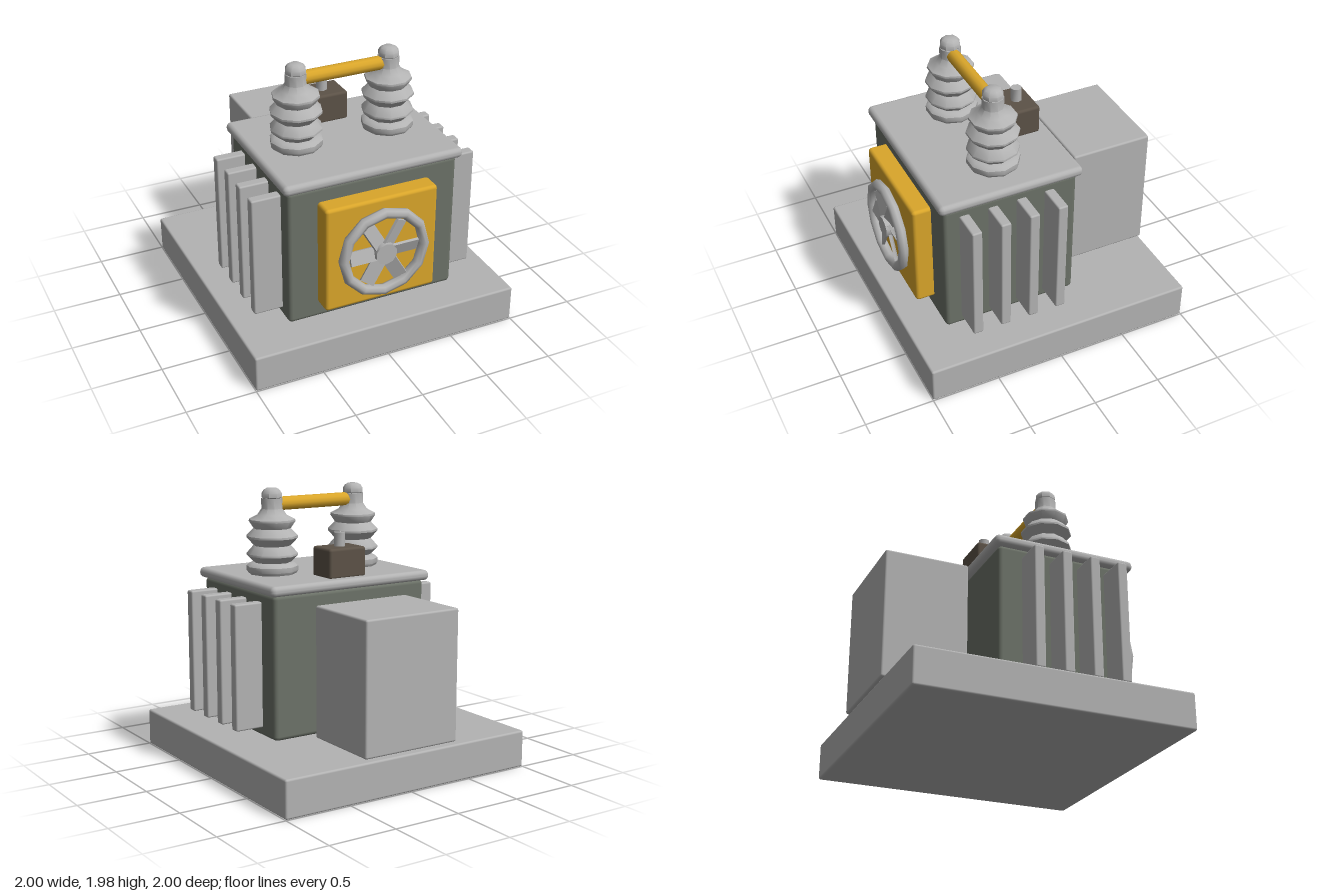
import * as THREE from 'three';
import { toCreasedNormals } from 'three/addons/utils/BufferGeometryUtils.js';
import { RoundedBoxGeometry } from 'three/addons/geometries/RoundedBoxGeometry.js';

const material = (name, color) => {
  const m = new THREE.MeshStandardMaterial({ color });
  m.name = name;
  return m;
};

export function createModel() {
  const model = new THREE.Group();
  model.name = 'transformer';
  const grey = material('light grey', 0xb3b3b3);
  const green = material('grey green', 0x6c7268);
  const yellow = material('yellow', 0xdaa62a);
  const brown = material('dark brown', 0x5c5247);

  const add = (name, geometry, mat, x = 0, y = 0, z = 0, parent = model) => {
    const mesh = new THREE.Mesh(geometry, mat);
    mesh.name = name;
    mesh.position.set(x, y, z);
    parent.add(mesh);
    return mesh;
  };
  // Bevelled box given by its limits on each axis
  const box = (name, mat, [x0, x1], [y0, y1], [z0, z1], bevel) =>
    add(name, new RoundedBoxGeometry(x1 - x0, y1 - y0, z1 - z0, 2, bevel), mat,
      (x0 + x1) / 2, (y0 + y1) / 2, (z0 + z1) / 2);
  // Turned part, with a corner of the polygon on the x axis
  const turned = (points, sides) => {
    const g = new THREE.LatheGeometry(points.map(([r, y]) => new THREE.Vector2(r, y)), sides);
    return toCreasedNormals(g.rotateY(Math.PI / 2), 0.7);
  };

  // Main bodies
  box('base', grey, [-1, 1], [0, 0.27], [-1, 1], 0.015);
  box('tank', green, [-0.635, 0.635], [0.27, 1.3], [-0.27, 0.73], 0.03);
  box('lid', grey, [-0.67, 0.67], [1.295, 1.37], [-0.305, 0.765], 0.034);
  box('cabinet', grey, [-0.382, 0.382], [0.292, 1.232], [-1, -0.39], 0.015);

  // Cooling fins on both sides
  for (const side of [-1, 1]) {
    for (const z of [-0.06, 0.152, 0.365, 0.577]) {
      const fin = new RoundedBoxGeometry(0.235, 0.9, 0.074, 2, 0.012);
      add('coolingFin', fin, grey, side * 0.728, 0.785, z);
    }
  }

  // Fan on the front panel
  box('fanPanel', yellow, [-0.42, 0.42], [0.39, 1.19], [0.71, 0.865], 0.025);
  const fan = new THREE.Group();
  fan.name = 'fan';
  fan.position.set(0, 0.79, 0.9);
  model.add(fan);
  add('fanRing', new THREE.TorusGeometry(0.305, 0.038, 8, 12), grey, 0, 0, 0, fan);
  const hub = new THREE.CylinderGeometry(0.08, 0.08, 0.075, 10).rotateX(Math.PI / 2);
  add('fanHub', toCreasedNormals(hub, 0.7), grey, 0, 0, 0, fan);
  for (let i = 0; i < 6; i++) {
    const blade = new THREE.BoxGeometry(0.21, 0.1, 0.02).rotateX(0.35).translate(0.15, 0, -0.005);
    add('fanBlade', blade, grey, 0, 0, 0, fan).rotation.z = i * Math.PI / 3;
  }

  // Ribbed insulators with rounded caps
  const insulator = [
    [0, 1.36], [0.165, 1.36], [0.187, 1.39], [0.187, 1.425], [0.165, 1.445], [0.135, 1.452],
    [0.185, 1.5], [0.185, 1.515], [0.135, 1.572], [0.185, 1.627], [0.185, 1.642],
    [0.135, 1.695], [0.168, 1.745], [0.166, 1.76], [0.105, 1.792], [0.076, 1.835],
    [0.076, 1.91], [0, 1.91],
  ];
  const cap = [
    [0, 1.9], [0.06, 1.9], [0.075, 1.915], [0.075, 1.945], [0.058, 1.97], [0.035, 1.982], [0, 1.982],
  ];
  for (const x of [-0.35, 0.35]) {
    add('insulator', turned(insulator, 10), grey, x, 0, 0.23);
    add('insulatorCap', turned(cap, 8), grey, x, 0, 0.23);
  }

  // Bar joining the insulators
  const bar = new THREE.CylinderGeometry(0.049, 0.049, 0.62, 12).rotateZ(Math.PI / 2);
  add('connectingBar', bar, yellow, 0, 1.867, 0.23);

  // Relay box with its stud on the lid
  box('relayBox', brown, [-0.154, 0.154], [1.36, 1.578], [-0.228, 0.002], 0.02);
  const stud = new THREE.CylinderGeometry(0.04, 0.04, 0.12, 8);
  add('relayStud', toCreasedNormals(stud, 0.9), grey, 0, 1.618, -0.115);

  return model;
}
